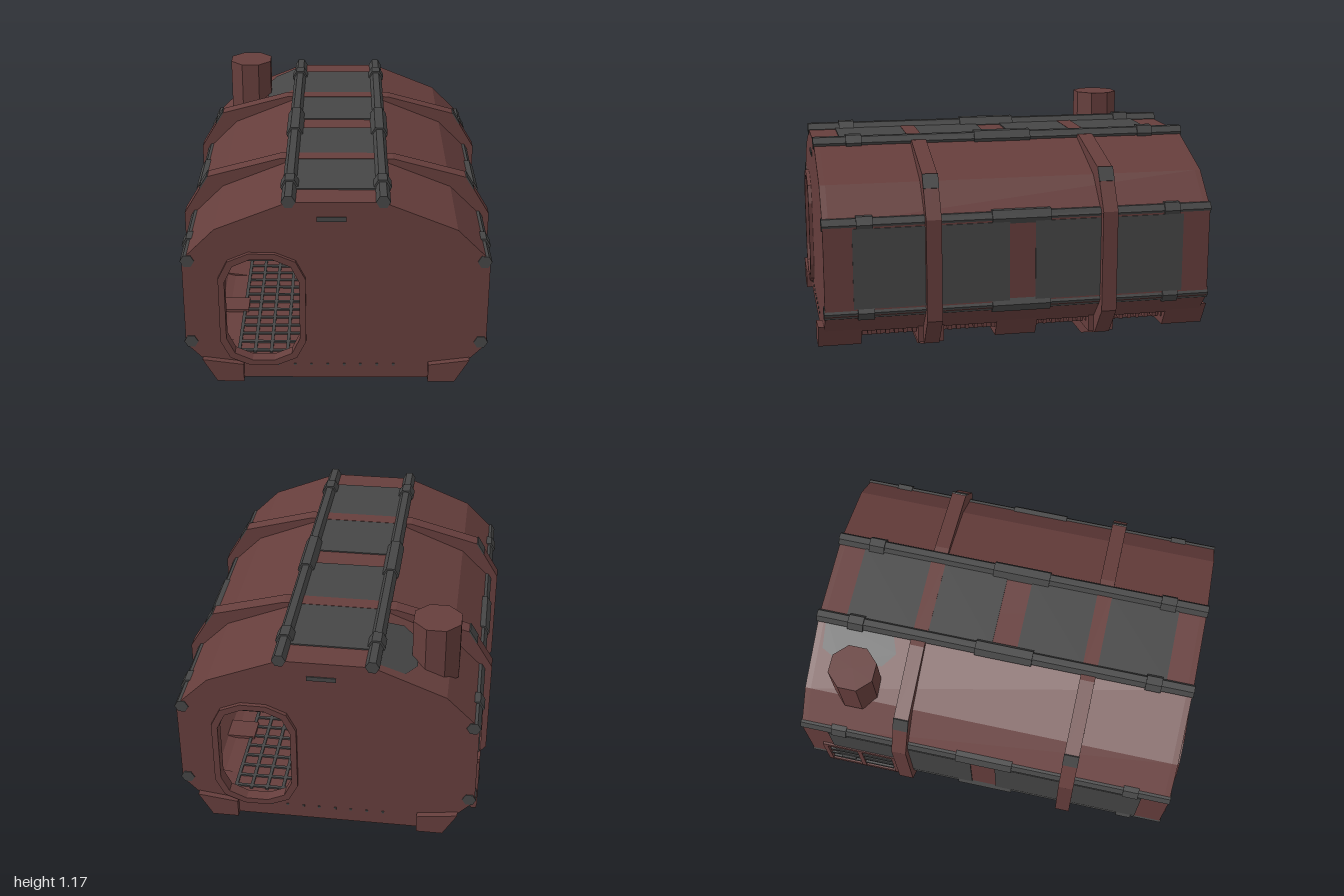
import * as THREE from 'three';

const brown = new THREE.MeshStandardMaterial({ color: 0x663e3c, flatShading: true });
brown.name = 'rustBrown';
const grey = new THREE.MeshStandardMaterial({ color: 0x464646, flatShading: true });
grey.name = 'darkGrey';

// Right halves of the cross-sections, from bottom to top
const HULL = [[0.33, 0.09], [0.62, 0.165], [0.73, 0.28], [0.73, 0.74], [0.57, 0.9], [0.22, 1.042]];
const INNER = [[0.32, 0.125], [0.6, 0.195], [0.7, 0.295], [0.7, 0.725], [0.555, 0.87], [0.21, 1.01]];
const RING = [[0.39, 0], [0.65, 0.09], [0.77, 0.24], [0.77, 0.75], [0.65, 0.95], [0.28, 1.05]];

const points = (list) => list.map(([x, y]) => new THREE.Vector2(x, y));
const mirrored = (half) => points([...half, ...half.map(([x, y]) => [-x, y]).reverse()]);

// Elongated, chamfered doorway outline centred on cx
function doorway(cx, w, y0, y1) {
  const a = w * 0.3, b = w * 0.78, h = y1 - y0;
  const half = [[a, y0], [b, y0 + h * 0.07], [w, y0 + h * 0.22], [w, y1 - h * 0.22], [b, y1 - h * 0.07], [a, y1]];
  return mirrored(half).map((p) => p.set(p.x + cx, p.y));
}

export function createModel() {
  const model = new THREE.Group();
  model.name = 'habitatModule';

  const add = (name, geometry, material, x = 0, y = 0, z = 0, parent = model) => {
    const mesh = new THREE.Mesh(geometry, material);
    mesh.name = name;
    mesh.position.set(x, y, z);
    parent.add(mesh);
    return mesh;
  };
  const box = (name, mat, w, h, d, x, y, z) => add(name, new THREE.BoxGeometry(w, h, d), mat, x, y, z);
  const extrude = (name, mat, outline, hole, z, depth) => {
    const shape = new THREE.Shape(outline);
    if (hole) shape.holes.push(new THREE.Path(hole));
    return add(name, new THREE.ExtrudeGeometry(shape, { depth, bevelEnabled: false }), mat, 0, 0, z);
  };
  const rod = (name, mat, r, length, x, y, z, sides = 6) => {
    const g = new THREE.CylinderGeometry(r, r, length, sides).rotateX(Math.PI / 2);
    return add(name, g.rotateZ(Math.PI / 6), mat, x, y, z);
  };

  // Hollow hull and its end walls, doorways on opposite sides
  extrude('hullShell', brown, mirrored(HULL), mirrored(INNER), -0.94, 1.88);
  for (const s of [1, -1]) {
    const cx = -0.352 * s;
    extrude('endWall', brown, mirrored(HULL), doorway(cx, 0.18, 0.2, 0.755), s > 0 ? 0.94 : -0.97, 0.03);
    extrude('doorFrame', brown, doorway(cx, 0.208, 0.17, 0.782), doorway(cx, 0.178, 0.2, 0.752),
      s > 0 ? 0.93 : -0.99, 0.06);
    box('doorLintelPlate', grey, 0.13, 0.012, 0.05, cx, 0.748, 0.955 * s);
    box('nameplateLight', grey, 0.14, 0.022, 0.008, -0.02 * s, 0.956, 0.972 * s);
    for (let i = 0; i < 8; i++) {
      box('rivet', grey, 0.012, 0.01, 0.008, -0.28 + i * 0.08, 0.166, 0.971 * s);
    }
    box('sillBeam', brown, 0.9, 0.03, 0.03, 0, 0.105, 0.955 * s);
  }

  // Two structural rings around the hull
  for (const z of [0.44, -0.44]) {
    extrude('structuralRing', brown, mirrored(RING), mirrored(INNER), z - 0.038, 0.076);
    for (const s of [1, -1]) {
      const clip = box('ringClip', grey, 0.008, 0.075, 0.078, 0.668 * s, 0.92, z);
      clip.rotation.z = s * Math.atan2(0.12, 0.2);
      box('ringBrace', brown, 0.17, 0.11, 0.13, 0.545 * s, 0.145, z);
    }
  }

  // Roof and side panels
  for (const [z0, z1] of [[-0.83, -0.478], [-0.402, -0.07], [0.06, 0.402], [0.478, 0.83]]) {
    const length = z1 - z0, mid = (z0 + z1) / 2;
    box('roofPanel', grey, 0.4, 0.009, length, 0, 1.044, mid);
    for (const s of [1, -1]) box('sidePanel', grey, 0.009, 0.4, length, 0.731 * s, 0.515, mid);
  }

  // External pipes with end clamps and a middle sleeve
  for (const s of [1, -1]) {
    for (const [x, y] of [[0.22, 1.045], [0.703, 0.735], [0.703, 0.295]]) {
      rod('pipe', grey, 0.034, 1.95, x * s, y, 0);
      rod('pipeSleeve', grey, 0.044, 0.295, x * s, y, 0);
      for (const z of [0.77, -0.77]) rod('pipeClamp', grey, 0.044, 0.08, x * s, y, z);
    }
    rod('innerPipe', grey, 0.028, 1.86, 0.65 * s, 0.33, 0);
  }

  // Feet with slanted outer faces, and toothed rails between them
  const foot = [[0.45, 0.085], [0.58, 0.085], [0.65, 0.207], [0.45, 0.18]];
  for (const s of [1, -1]) {
    const outline = points(foot.map(([x, y]) => [x * s, y]));
    for (const z of [0.785, -0.105, -1]) extrude('foot', brown, outline, null, z, z === -0.105 ? 0.21 : 0.215);
    box('toothRail', brown, 0.03, 0.03, 1.9, 0.5 * s, 0.125, 0);
    for (let i = 0; i < 42; i++) {
      box('railTooth', brown, 0.04, 0.03, 0.02, 0.56 * s, 0.145, -0.9225 + i * 0.045);
    }
  }

  // Chimney with the plating patch on the roof slope beside it
  const flue = new THREE.CylinderGeometry(0.122, 0.122, 0.3, 8).rotateY(Math.PI / 8);
  add('chimney', flue, brown, -0.5, 1.02, -0.705);
  const patch = new THREE.ShapeGeometry(new THREE.Shape(points([[-0.22, 0.93], [-0.37, 0.92],
    [-0.42, 0.82], [-0.4, 0.6], [-0.33, 0.54], [-0.22, 0.58]])));
  patch.rotateX(-Math.PI / 2);
  const p = patch.attributes.position;
  for (let i = 0; i < p.count; i++) p.setY(i, 1.046 + (p.getX(i) + 0.22) * (0.142 / 0.35));
  patch.computeVertexNormals();
  const patchMaterial = grey.clone();
  patchMaterial.side = THREE.DoubleSide;
  add('chimneyPatch', patch, patchMaterial);

  // Service hatch low on the side, below the chimney
  box('hatchRail', brown, 0.02, 0.03, 0.4, -0.732, 0.47, -0.69);
  box('hatchRail', brown, 0.03, 0.03, 0.4, -0.725, 0.19, -0.69);
  for (const z of [-0.88, -0.69, -0.5]) box('hatchPost', brown, 0.02, 0.28, 0.025, -0.732, 0.33, z);
  for (let i = 0; i < 3; i++) box('hatchFin', grey, 0.015, 0.02, 0.34, -0.732, 0.25 + i * 0.07, -0.69);

  // Floor deck with a grating
  box('floorDeck', brown, 1.14, 0.02, 1.88, 0, 0.175, 0);
  for (let i = 0; i < 13; i++) box('grateBar', grey, 0.016, 0.008, 1.8, -0.48 + i * 0.08, 0.189, 0);
  for (let i = 0; i < 23; i++) box('grateCrossbar', grey, 0.96, 0.008, 0.016, 0, 0.189, -0.88 + i * 0.08);

  // Stove and tank under the chimney
  const drum = (name, r, h, y) => add(name, new THREE.CylinderGeometry(r, r, h, 12), grey, -0.34, y, -0.7);
  drum('tank', 0.1, 0.3, 0.345);
  drum('tankRim', 0.112, 0.035, 0.503);
  drum('tankBand', 0.108, 0.03, 0.345);
  box('stoveBody', grey, 0.14, 0.3, 0.24, -0.48, 0.34, -0.74);
  box('stoveTop', grey, 0.16, 0.03, 0.26, -0.48, 0.505, -0.74);
  const elbow = add('elbowPipe', new THREE.CylinderGeometry(0.1, 0.1, 0.16, 8), grey, -0.44, 0.3, -0.52);
  elbow.rotation.set(1.1, 0, 0.5);

  // Drain cover on the underside
  add('drainCover', new THREE.CylinderGeometry(0.13, 0.13, 0.009, 10), grey, -0.18, 0.088, -0.7);

  return model;
}
